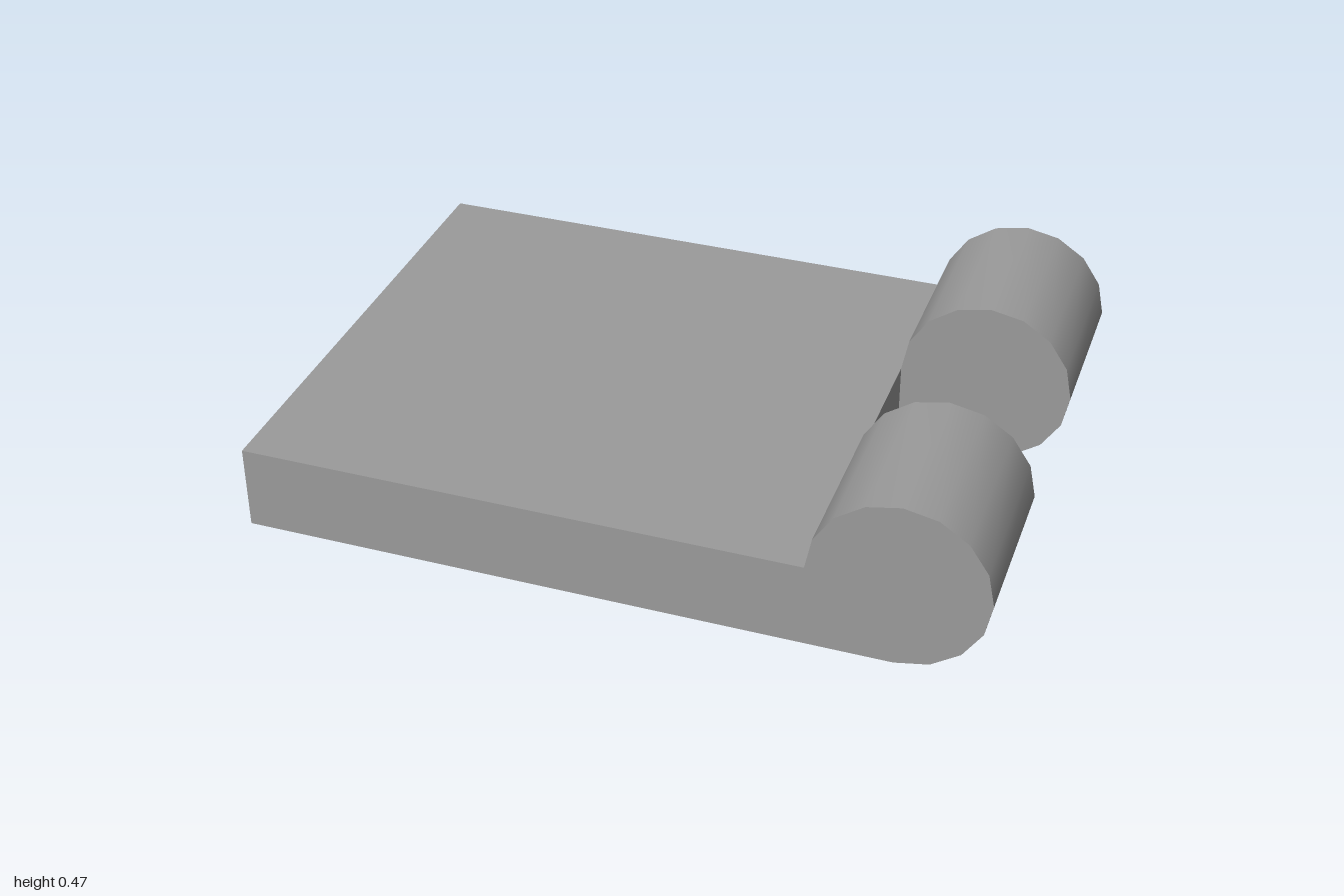
import * as THREE from 'three';
import { toCreasedNormals } from 'three/addons/utils/BufferGeometryUtils.js';

export function createModel() {
  const group = new THREE.Group();
  const material = new THREE.MeshStandardMaterial({ color: 0x9b9b9b });

  const U = 1 / 17;             // design unit
  const R = 4 * U;              // barrel radius, also the plate thickness
  const HALF_DEPTH = 12 * U;
  const PLATE_END = 9 * U;
  const RECESS_DEPTH = 2 * U;
  const POCKET_X = -0.3;        // centre of the underside pocket

  const add = (name, geometry, x, y, z) => {
    const mesh = new THREE.Mesh(geometry, material);
    mesh.name = name;
    mesh.position.set(x, y, z);
    group.add(mesh);
  };

  const rectangle = (Type, x0, x1, halfDepth) => new Type([
    new THREE.Vector2(x0, -halfDepth),
    new THREE.Vector2(x1, -halfDepth),
    new THREE.Vector2(x1, halfDepth),
    new THREE.Vector2(x0, halfDepth),
  ]);

  // Solid upper half of the plate
  const topHeight = R - RECESS_DEPTH;
  add('plateTop', new THREE.BoxGeometry(1 + PLATE_END, topHeight, HALF_DEPTH * 2),
    (PLATE_END - 1) / 2, RECESS_DEPTH + topHeight / 2, 0);

  // Lower rim with a square pocket
  const rim = rectangle(THREE.Shape, -1, PLATE_END, HALF_DEPTH);
  rim.holes.push(rectangle(THREE.Path, POCKET_X - 0.6, POCKET_X + 0.6, 0.6));
  const rimGeometry = new THREE.ExtrudeGeometry(rim, { depth: RECESS_DEPTH, bevelEnabled: false });
  rimGeometry.rotateX(-Math.PI / 2);
  add('plateRim', rimGeometry, 0, 0, 0);

  // Round boss inside the pocket, flush with the underside
  add('pocketBoss', new THREE.CylinderGeometry(0.247, 0.247, RECESS_DEPTH, 24),
    POCKET_X, RECESS_DEPTH / 2, 0);

  // Hinge knuckle: three-quarter round with a square lower corner into the plate
  const points = [new THREE.Vector2(PLATE_END, 0)];
  for (let i = 0; i <= 12; i++) {
    const a = -Math.PI / 2 + (i * Math.PI) / 8;
    points.push(new THREE.Vector2(1 - R + R * Math.cos(a), R + R * Math.sin(a)));
  }
  const knuckle = toCreasedNormals(
    new THREE.ExtrudeGeometry(new THREE.Shape(points), { depth: 2 * R, bevelEnabled: false }),
    Math.PI / 6
  );
  add('frontKnuckle', knuckle, 0, 0, R);
  add('backKnuckle', knuckle, 0, 0, -HALF_DEPTH);

  return group;
}
